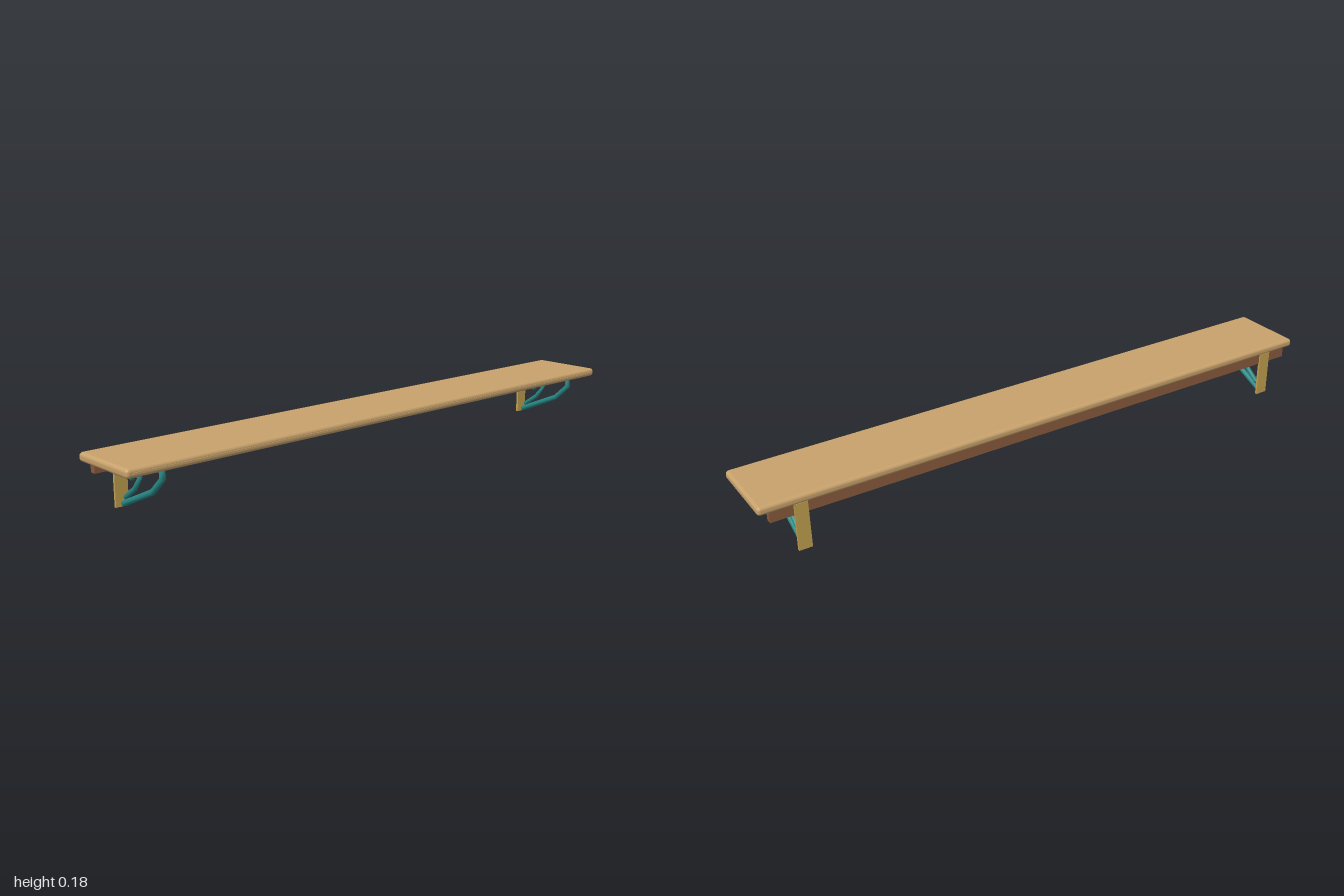
import * as THREE from 'three';
import { RoundedBoxGeometry } from 'three/addons/geometries/RoundedBoxGeometry.js';

const mat = (color) => new THREE.MeshStandardMaterial({ color });
const wood = mat(0xc8a26c);
const darkWood = mat(0x8a5a3c);
const plateWood = mat(0xc2a050);
const teal = mat(0x268583);

function add(parent, name, geometry, material, x = 0, y = 0, z = 0) {
  const mesh = new THREE.Mesh(geometry, material);
  mesh.name = name;
  mesh.position.set(x, y, z);
  parent.add(mesh);
  return mesh;
}

// Bent rod in the zy plane: one ring per bend, square to the mean direction there
function rodGeometry(path, r, sides = 12) {
  const pts = path.map(([z, y]) => new THREE.Vector2(z, y));
  const pos = [], idx = [];
  pts.forEach((p, i) => {
    const before = pts[Math.max(i - 1, 0)], after = pts[Math.min(i + 1, pts.length - 1)];
    const t = new THREE.Vector2();
    if (before !== p) t.add(p.clone().sub(before).normalize());
    if (after !== p) t.add(after.clone().sub(p).normalize());
    t.normalize();
    for (let j = 0; j < sides; j++) {
      const a = (j / sides) * Math.PI * 2;
      const n = r * Math.cos(a);
      pos.push(r * Math.sin(a), p.y + t.x * n, p.x - t.y * n);
      if (i > 0) {
        const k = (j + 1) % sides, lo = (i - 1) * sides, hi = i * sides;
        idx.push(lo + j, lo + k, hi + j, lo + k, hi + k, hi + j);
      }
    }
  });
  const g = new THREE.BufferGeometry();
  g.setAttribute('position', new THREE.Float32BufferAttribute(pos, 3));
  g.setIndex(idx);
  g.computeVertexNormals();
  return g;
}

function addRod(parent, name, path, r) {
  const rod = new THREE.Group();
  rod.name = name;
  const material = teal.clone();
  material.side = THREE.DoubleSide;
  add(rod, name + 'Tube', rodGeometry(path, r), material);
  // Rounded ends
  for (const [z, y] of [path[0], path[path.length - 1]]) {
    add(rod, name + 'End', new THREE.SphereGeometry(r, 12, 8), teal, 0, y, z);
  }
  parent.add(rod);
}

// Wall plate with a bent rod brace and a coat hook
function makeBracket(x) {
  const bracket = new THREE.Group();
  bracket.name = 'bracket';
  bracket.position.x = x;
  add(bracket, 'wallPlate', new THREE.BoxGeometry(0.042, 0.154, 0.008), plateWood, 0, 0.079, -0.117);
  addRod(bracket, 'brace', [
    [-0.1, 0.154], [0.1, 0.154], [0.103, 0.13], [0.05, 0.081], [-0.102, 0.014],
  ], 0.0095);
  addRod(bracket, 'hook', [
    [-0.055, 0.099], [-0.038, 0.119], [-0.012, 0.109], [-0.042, 0.07], [-0.09, 0.036],
  ], 0.008);
  return bracket;
}

export function createModel() {
  const shelf = new THREE.Group();
  shelf.name = 'wallShelf';
  // Board with rounded edges
  add(shelf, 'board', new RoundedBoxGeometry(2, 0.028, 0.249, 4, 0.011), wood, 0, 0.169, -0.001);
  // Rail under the back edge
  add(shelf, 'backRail', new THREE.BoxGeometry(1.934, 0.036, 0.02), darkWood, -0.002, 0.138, -0.106);
  // Thin strip on the front edge
  add(shelf, 'frontStrip', new THREE.BoxGeometry(1.96, 0.005, 0.004), wood, 0, 0.169, 0.124);
  for (const x of [-0.878, 0.872]) shelf.add(makeBracket(x));
  return shelf;
}
